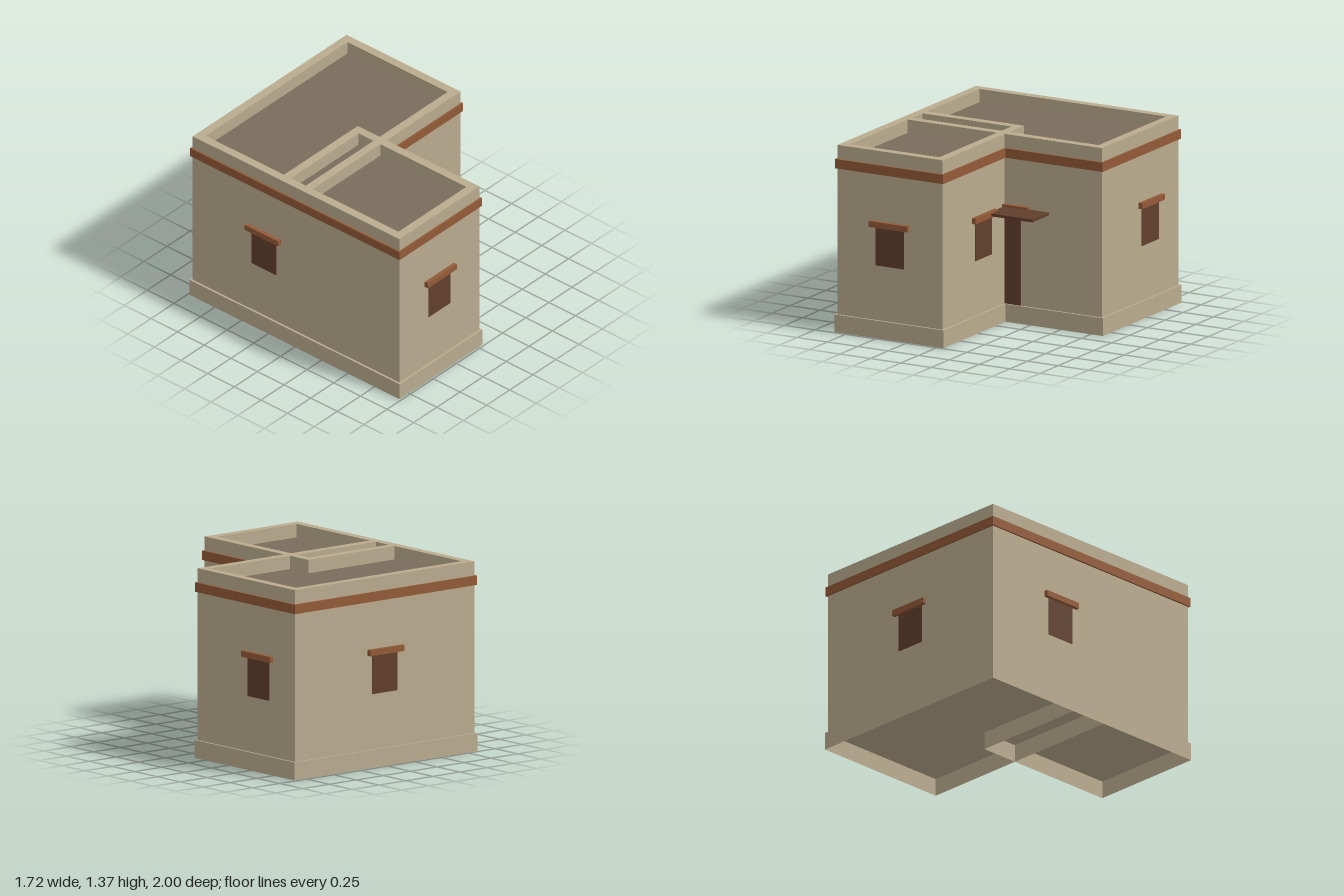
import * as THREE from 'three';

const paint = (name, color, side = THREE.FrontSide) =>
  Object.assign(new THREE.MeshStandardMaterial({ color, side }), { name });

export function createModel() {
  const model = new THREE.Group();
  model.name = 'adobeHouse';
  const adobe = paint('adobe', 0xb9ab8e, THREE.DoubleSide);
  const roofClay = paint('roof clay', 0x7a6c5c);
  const timber = paint('timber', 0x935a38);
  const darkWood = paint('dark wood', 0x613f2c);

  const add = (name, geometry, material) => {
    const mesh = new THREE.Mesh(geometry, material);
    mesh.name = name;
    model.add(mesh);
    return mesh;
  };

  // Box given by its limits on each axis
  const box = (name, material, [x0, x1], [y0, y1], [z0, z1]) => {
    const mesh = add(name, new THREE.BoxGeometry(x1 - x0, y1 - y0, z1 - z0), material);
    mesh.position.set((x0 + x1) / 2, (y0 + y1) / 2, (z0 + z1) / 2);
    return mesh;
  };

  // Corners of a room outline grown by d
  const corners = ({ x, z }, d) => [
    [x[0] - d, -z[1] - d], [x[1] + d, -z[1] - d],
    [x[1] + d, -z[0] + d], [x[0] - d, -z[0] + d],
  ].map(([a, b]) => new THREE.Vector2(a, b));

  // Upright rectangular frame between two outlines
  const frame = (name, material, room, outer, inner, y0, y1) => {
    const shape = new THREE.Shape(corners(room, outer));
    shape.holes.push(new THREE.Path(corners(room, inner).reverse()));
    const geometry = new THREE.ExtrudeGeometry(shape, { depth: y1 - y0, bevelEnabled: false });
    geometry.rotateX(-Math.PI / 2).translate(0, y0, 0);
    add(name, geometry, material);
  };

  // Two overlapping rooms with parapets, sunken roofs, bands and hollow plinths
  const rooms = [
    { name: 'back', x: [-0.832, 0.832], z: [-0.97, 0.1] },
    { name: 'front', x: [-0.832, 0.032], z: [-0.17, 0.97] },
  ];
  for (const room of rooms) {
    const { name, x, z } = room;
    frame(name + 'Walls', adobe, room, 0, -0.065, 0.13, 1.37);
    frame(name + 'Band', timber, room, 0.013, -0.01, 1.2, 1.268);
    box(name + 'Roof', roofClay, [x[0] + 0.03, x[1] - 0.03], [1.25, 1.273], [z[0] + 0.03, z[1] - 0.03]);
    const d = 0.016;
    const plinth = box(name + 'Plinth', adobe, [x[0] - d, x[1] + d], [0, 0.13], [z[0] - d, z[1] + d]);
    // Leave the underside open
    const index = Array.from(plinth.geometry.index.array);
    index.splice(18, 6);
    plinth.geometry.setIndex(index);
    plinth.geometry.clearGroups();
  }

  // Windows with lintels: axis of the wall normal, wall position, outward sign, centre
  const windows = [
    ['front', 'z', 0.97, 1, -0.4],
    ['back', 'z', -0.97, -1, 0],
    ['left', 'x', 0.832, 1, -0.57],
    ['right', 'x', -0.832, -1, -0.3],
    ['courtyard', 'x', 0.032, 1, 0.4],
  ];
  for (const [name, axis, wall, sign, centre] of windows) {
    const put = (part, material, half, y, depth) => {
      const along = [centre - half, centre + half];
      const out = [wall, wall + sign * depth].sort((a, b) => a - b);
      box(name + part, material, axis === 'x' ? out : along, y, axis === 'x' ? along : out);
    };
    put('Window', darkWood, 0.117, [0.53, 0.812], 0.004);
    put('Lintel', timber, 0.158, [0.812, 0.855], 0.03);
  }

  // Door, its lintel and the canopy in the inner corner
  box('door', darkWood, [0.03, 0.165], [0.13, 0.77], [0.1, 0.104]);
  box('doorLintel', timber, [0.03, 0.238], [0.8, 0.862], [0.1, 0.135]);
  box('doorCanopy', darkWood, [0.03, 0.398], [0.822, 0.842], [0.1, 0.335]);

  return model;
}
